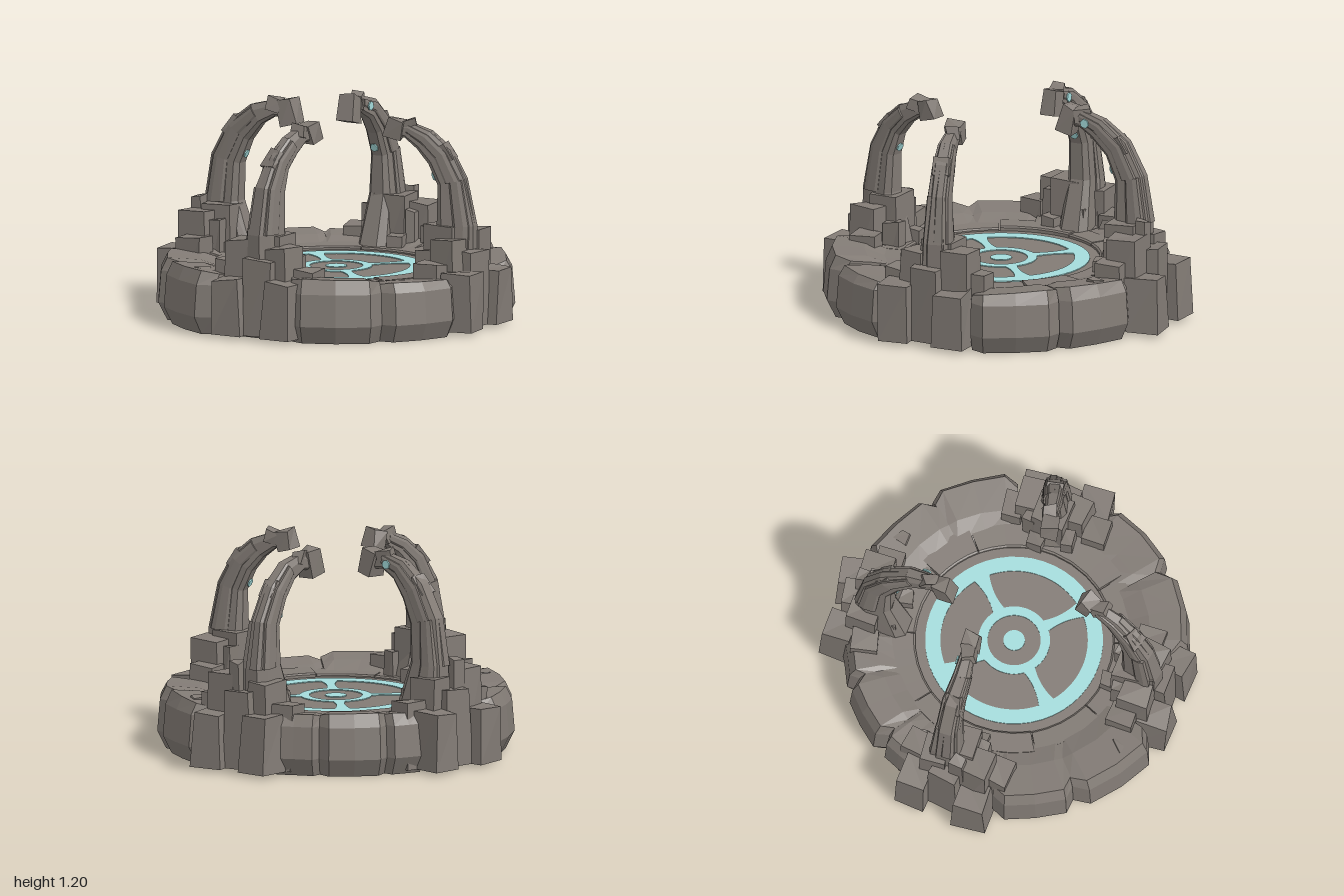
import * as THREE from 'three';

const stone = new THREE.MeshStandardMaterial({ color: 0x827b75, flatShading: true });
stone.name = 'grey stone';
const glow = new THREE.MeshStandardMaterial({ color: 0xa4dcdc, flatShading: true });
glow.name = 'pale cyan';

// Seeded jitter in the range -1..1
let seed = 7;
const jit = () => {
  seed = (seed * 16807) % 2147483647;
  return (seed / 2147483647) * 2 - 1;
};

const add = (parent, name, geometry, material = stone) => {
  const m = new THREE.Mesh(geometry, material);
  m.name = name;
  parent.add(m);
  return m;
};

// Skin a list of equal-length closed rings, with end caps
function loft(rings) {
  const n = rings[0].length, pos = [], idx = [];
  rings.forEach(r => r.forEach(p => pos.push(p.x, p.y, p.z)));
  for (let i = 0; i < rings.length - 1; i++) {
    for (let j = 0; j < n; j++) {
      const a = i * n + j, b = i * n + (j + 1) % n;
      idx.push(a, b, a + n, b, b + n, a + n);
    }
  }
  const last = (rings.length - 1) * n;
  for (let j = 1; j < n - 1; j++) {
    idx.push(0, j + 1, j, last, last + j, last + j + 1);
  }
  const g = new THREE.BufferGeometry();
  g.setAttribute('position', new THREE.Float32BufferAttribute(pos, 3));
  g.setIndex(idx);
  g.computeVertexNormals();
  return g;
}

// Box with tapered top and nudged corners, standing on its base
function rockBox(w, h, d, rough = 0.012) {
  const g = new THREE.BoxGeometry(w, h, d).translate(0, h / 2, 0);
  const nudges = Array.from({ length: 8 }, () => [jit(), jit(), jit()]);
  const p = g.attributes.position;
  for (let i = 0; i < p.count; i++) {
    const top = p.getY(i) > h / 2;
    const k = (p.getX(i) > 0 ? 1 : 0) + (p.getZ(i) > 0 ? 2 : 0) + (top ? 4 : 0);
    const s = top ? 0.92 : 1, v = nudges[k];
    p.setXYZ(i, p.getX(i) * s + v[0] * rough, p.getY(i) + (top ? v[1] * rough : 0), p.getZ(i) * s + v[2] * rough);
  }
  g.computeVertexNormals();
  return g;
}

// Wedge of a ring between two angles (degrees), from an (r, y) profile;
// stations crowd towards both ends
function wedge(a0, a1, steps, profileAt) {
  const rings = [];
  for (let i = 0; i <= steps; i++) {
    const t = (1 - Math.cos(Math.PI * i / steps)) / 2;
    const a = THREE.MathUtils.degToRad(a0 + (a1 - a0) * t);
    rings.push(profileAt(t).map(([r, y]) => new THREE.Vector3(r * Math.cos(a), y, r * Math.sin(a))));
  }
  return loft(rings);
}

// Outer boulders: start angle, end angle, outer radius, height
const boulders = [
  [-3, 27, 1, 0.345], [27, 60, 0.9, 0.335], [60, 90, 0.98, 0.33], [90, 122, 0.985, 0.36],
  [122, 153, 0.9, 0.335], [153, 185, 1, 0.355], [185, 213, 0.99, 0.35], [213, 242, 0.9, 0.355],
  [242, 257, 0.95, 0.34], [257, 281, 0.965, 0.355], [281, 299, 0.95, 0.345], [299, 327, 0.9, 0.355],
  [327, 357, 0.985, 0.35],
];

// Arm path stations: |x|, |z|, y, radial thickness, width
const backArm = [
  [0.43, 0.6, 0.27, 0.33, 0.22], [0.465, 0.63, 0.58, 0.21, 0.16], [0.45, 0.615, 0.82, 0.175, 0.13],
  [0.395, 0.56, 0.98, 0.155, 0.12], [0.32, 0.47, 1.085, 0.12, 0.1], [0.24, 0.4, 1.125, 0.09, 0.08],
  [0.17, 0.345, 1.11, 0.08, 0.08],
];
const frontArm = [
  [0.52, 0.5, 0.27, 0.28, 0.19], [0.55, 0.525, 0.58, 0.2, 0.15], [0.525, 0.51, 0.82, 0.165, 0.125],
  [0.47, 0.475, 0.96, 0.145, 0.115], [0.39, 0.43, 1.05, 0.12, 0.1], [0.31, 0.375, 1.1, 0.09, 0.08],
  [0.25, 0.34, 1.105, 0.08, 0.08],
];
const section = [[0.5, -0.3], [0.5, 0.3], [0.2, 0.5], [-0.35, 0.5], [-0.5, 0.3], [-0.5, -0.3], [-0.35, -0.5], [0.2, -0.5]];

// Pedestal blocks: radial place, sideways place, depth, width, height
const blocks = [
  [0.95, 0.15, 0.19, 0.18, 0.33], [0.95, -0.19, 0.19, 0.18, 0.34], [0.9, -0.02, 0.17, 0.18, 0.45],
  [0.83, 0.13, 0.19, 0.17, 0.54], [0.83, -0.12, 0.18, 0.16, 0.51], [0.76, 0, 0.19, 0.2, 0.58],
  [0.65, 0.06, 0.11, 0.1, 0.37], [0.79, 0.24, 0.16, 0.13, 0.41], [0.79, -0.25, 0.16, 0.13, 0.39],
  [0.72, 0.12, 0.08, 0.07, 0.5], [0.69, -0.11, 0.1, 0.08, 0.44], [0.88, 0.04, 0.07, 0.08, 0.61],
];

function buildCorner(sx, sz, path, isBack) {
  const corner = new THREE.Group();
  corner.name = (isBack ? 'back' : 'front') + (sx > 0 ? 'Left' : 'Right') + 'Pillar';

  // Stacked pedestal blocks
  const [cx, cz] = isBack ? [0.66, 0.75] : [0.72, 0.69];
  const shift = isBack ? 0 : -0.06;
  for (const [u, v, du, dv, h] of blocks) {
    const r = u + shift;
    const b = add(corner, 'pedestalBlock', rockBox(du, h - 0.02, dv));
    b.position.set(sx * (r * cx + v * cz), 0.02, sz * (r * cz - v * cx));
    b.rotation.y = Math.atan2(-sz * cz, sx * cx) + jit() * 0.12;
  }

  // Frames along the curved arm
  const pts = path.map(([x, z, y]) => new THREE.Vector3(sx * x, y, sz * z));
  const D = pts[1].clone().sub(pts[6]).setY(0).normalize();
  const B = new THREE.Vector3(0, 1, 0).cross(D);
  const frames = pts.map((P, i) => {
    const T = pts[Math.min(i + 1, 6)].clone().sub(pts[Math.max(i - 1, 0)]).normalize();
    return { P, A: B.clone().cross(T).normalize(), th: path[i][3], w: path[i][4] };
  });
  const blend = (i, t) => ({ P: pts[i].clone().lerp(pts[i + 1], t), A: frames[i].A.clone().lerp(frames[i + 1].A, t).normalize() });
  const place = (f, a, b) => f.P.clone().addScaledVector(f.A, a).addScaledVector(B, b);
  const rib = (name, from, to, oa, ob, sa, sb) => add(corner, name, loft(frames.slice(from, to + 1).map(f => {
    const wob = 1 + jit() * 0.07;
    return section.map(([a, b]) => place(f, (oa + a * sa * wob) * f.th, (ob + b * sb * wob) * f.w));
  })));
  rib('arm', 0, 6, 0, 0, 1, 0.86);
  rib('outerRidge', 1, 4, 0.36, 0.12, 0.32, 0.5);
  rib('sideSlab', 1, 4, 0.12, 0.38, 0.5, 0.3);
  rib('sideSlab', 2, 5, 0.1, -0.38, 0.48, 0.3);
  rib('lowerSlab', 0, 2, 0.2, -0.36, 0.45, 0.35);

  // Blocky arm tip and knuckle stones
  const yaw = Math.atan2(-D.z, D.x);
  const [hw, hh] = isBack ? [0.1, 0.15] : [0.095, 0.11];
  const head = add(corner, 'armTip', rockBox(hw, hh, 0.1).translate(0, -hh / 2, 0));
  head.position.copy(pts[6]);
  head.rotation.set(0, yaw, -0.25, 'YXZ');
  const knuckle = add(corner, 'knuckle', rockBox(0.09, 0.07, 0.08).translate(0, -0.035, 0));
  knuckle.position.copy(place(frames[5], 0.02, 0.005));
  knuckle.rotation.set(0, yaw + 0.3, 0.25, 'YXZ');
  const elbow = add(corner, 'elbowStone', rockBox(0.07, 0.11, 0.1).translate(0, -0.055, 0));
  elbow.position.copy(place(frames[3], 0.035, 0));
  elbow.rotation.set(0, yaw, 0.6, 'YXZ');

  // Thin inlaid gems on the inner face, and beside the back tips
  const gem = (p, normal, r) => {
    const g = add(corner, 'gem', new THREE.CylinderGeometry(r, r, 0.008, 6), glow);
    g.position.copy(p);
    g.quaternion.setFromUnitVectors(new THREE.Vector3(0, 1, 0), normal);
  };
  const mid = blend(2, 0.4);
  gem(place(mid, -(frames[2].th * 0.5 + 0.002), 0), mid.A.clone().negate(), 0.025);
  if (isBack) gem(place(blend(4, 0.6), 0.002, -0.053), B.clone().negate(), 0.027);
  return corner;
}

export function createModel() {
  const model = new THREE.Group();
  model.name = 'stonePortalPlatform';

  // Boulder ring
  const ring = new THREE.Group();
  ring.name = 'boulderRing';
  model.add(ring);
  for (const [a0, a1, R, H] of boulders) {
    const lean = jit() * 0.012;
    add(ring, 'boulder', wedge(a0 - 0.3, a1 + 0.3, 4, t => {
      const end = Math.abs(t - 0.5) > 0.45;
      const r = R - (end ? 0.06 : 0) + jit() * 0.008;
      const h = H - (end ? 0.018 : 0) + lean * (t - 0.5) * 2;
      return [[0.54, 0.005], [r - 0.05, 0], [r, 0.1], [r - 0.015, 0.28], [r - 0.05, h], [0.76, h - 0.015], [0.64, 0.3], [0.54, 0.25]];
    }));
  }

  // Flat paving slabs inside the boulders
  const cuts = [5, 38, 84, 118, 160, 196, 240, 262, 300, 338, 365];
  for (let i = 0; i < cuts.length - 1; i++) {
    const y = 0.305 + jit() * 0.006, out = 0.69 + jit() * 0.025;
    add(ring, 'pavingSlab', wedge(cuts[i] + 0.3, cuts[i + 1] - 0.3, 6, () =>
      [[0.55, 0.2], [out, 0.2], [out, y + 0.005], [0.56, y], [0.55, y - 0.008]]));
  }

  // Chips lying on the ring
  for (const [x, z, s] of [[-0.83, 0.25, 0.05], [0.42, -0.72, 0.07], [-0.3, -0.72, 0.06], [0.6, 0.42, 0.06], [-0.42, 0.68, 0.07], [0.8, -0.3, 0.05]]) {
    const chip = add(ring, 'chip', rockBox(s * 1.5, 0.05, s, 0.015));
    chip.position.set(x, 0.305, z);
    chip.rotation.y = jit() * 3;
  }

  // Central floor
  add(model, 'floor', new THREE.CylinderGeometry(0.57, 0.57, 0.275, 48)).position.y = 0.1475;

  // Inlaid wheel: outer ring, four flared spokes, inner ring and dot
  const wheel = new THREE.Shape().absarc(0, 0, 0.495, 0, Math.PI * 2, false);
  for (let q = 0; q < 4; q++) {
    const o = q * Math.PI / 2, e = Math.PI / 2;
    const at = (r, a) => [r * Math.cos(o + a), r * Math.sin(o + a)];
    const hole = new THREE.Path();
    hole.absarc(0, 0, 0.41, o + 0.11, o + e - 0.11, false);
    hole.quadraticCurveTo(...at(0.3, e - 0.03), ...at(0.2, e - 0.17));
    hole.absarc(0, 0, 0.2, o + e - 0.17, o + 0.17, true);
    hole.quadraticCurveTo(...at(0.3, 0.03), ...at(0.41, 0.11));
    wheel.holes.push(hole);
  }
  wheel.holes.push(new THREE.Path().absarc(0, 0, 0.148, 0, Math.PI * 2, true));
  const dot = new THREE.Shape().absarc(0, 0, 0.06, 0, Math.PI * 2, false);
  const inlay = new THREE.ExtrudeGeometry([wheel, dot], { depth: 0.006, bevelEnabled: false, curveSegments: 24 });
  add(model, 'floorInlay', inlay.rotateX(-Math.PI / 2), glow).position.y = 0.284;

  // Four curved pillars
  for (const sx of [-1, 1]) {
    model.add(buildCorner(sx, -1, backArm, true), buildCorner(sx, 1, frontArm, false));
  }
  return model;
}
